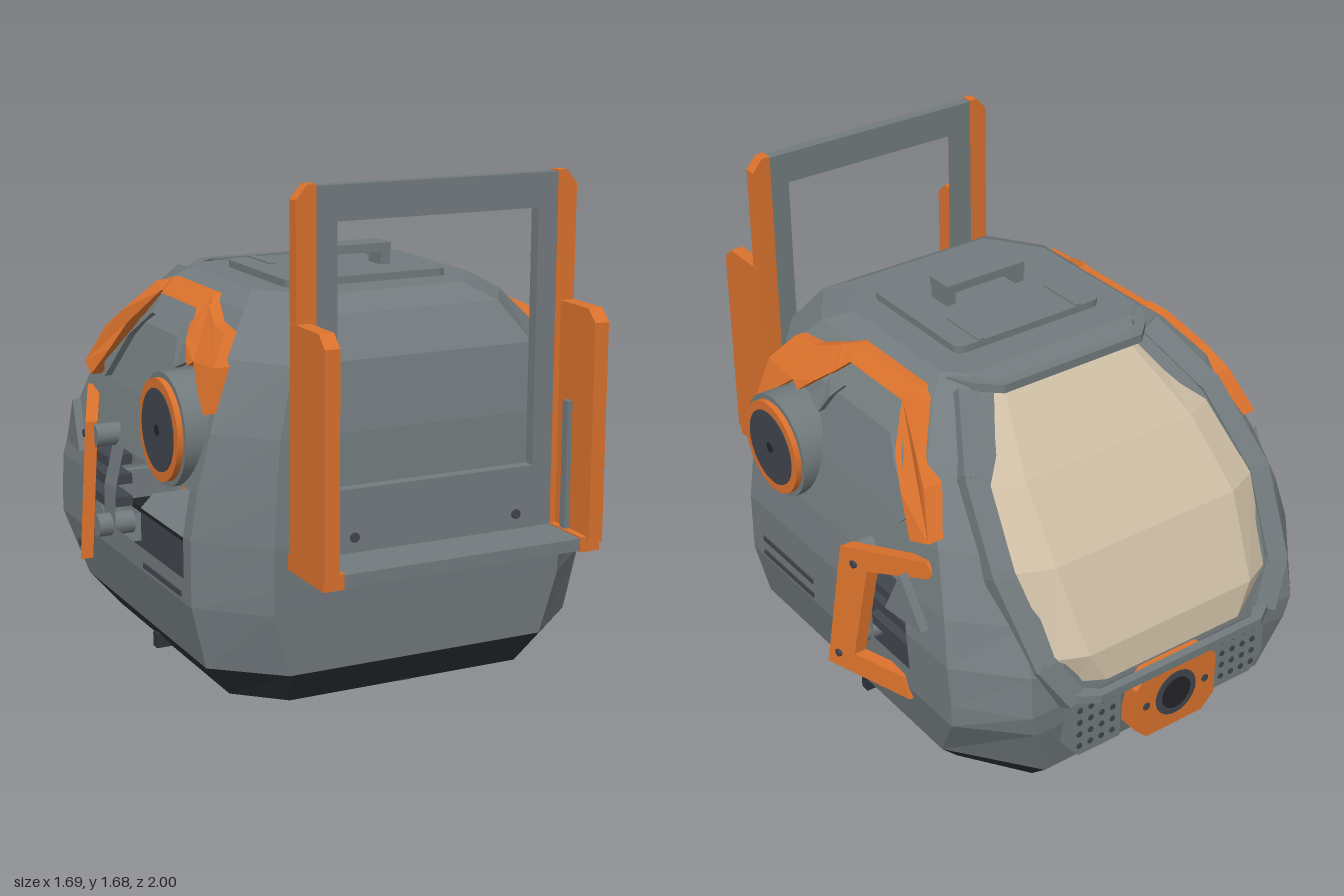
import * as THREE from 'three';

const mat = (name, color, side = THREE.FrontSide) => {
  const m = new THREE.MeshStandardMaterial({ color, side });
  m.name = name;
  return m;
};

// Body rings: y, front half width, front z, side x, side front z, side back z, back half width, back z
const RINGS = [
  [0, 0.42, 0.6, 0.57, 0.46, -0.53, 0.42, -0.75],
  [0.12, 0.46, 0.69, 0.67, 0.51, -0.59, 0.46, -0.87],
  [0.33, 0.52, 0.7, 0.72, 0.515, -0.72, 0.53, -0.915],
  [0.41, 0.52, 0.705, 0.72, 0.515, -0.72, 0.55, -0.92],
  [0.55, 0.52, 0.71, 0.72, 0.515, -0.7, 0.54, -0.9],
  [0.7, 0.51, 0.703, 0.697, 0.518, -0.655, 0.525, -0.825],
  [0.89, 0.49, 0.69, 0.65, 0.52, -0.56, 0.5, -0.7],
  [1.11, 0.43, 0.655, 0.575, 0.47, -0.4, 0.45, -0.5],
  [1.24, 0.35, 0.565, 0.47, 0.38, -0.28, 0.38, -0.36],
  [1.29, 0.27, 0.47, 0.4, 0.28, -0.22, 0.33, -0.29],
];
const COLUMNS = [0, 0.05, 0.55, 0.64, 0.81, 1];

// Half width of the body side at a given height
function sideX(y) {
  let i = 1;
  while (i < RINGS.length - 1 && RINGS[i][0] < y) i++;
  const a = RINGS[i - 1], b = RINGS[i];
  return a[3] + (b[3] - a[3]) * (y - a[0]) / (b[0] - a[0]);
}

function ringPoints([y, fx, zf, w, s1, s2, bx, zb]) {
  const half = [[fx, y, zf], ...COLUMNS.map(t => [w, y, s1 + (s2 - s1) * t]), [bx, y, zb]];
  return half.concat(half.slice().reverse().map(([x, h, z]) => [-x, h, z]));
}

function fromTriangles(points) {
  const g = new THREE.BufferGeometry();
  g.setAttribute('position', new THREE.Float32BufferAttribute(points.flat(), 3));
  g.computeVertexNormals();
  return g;
}

// Flat-faced skin through rings of equal size; skip(row, column) leaves openings
function loft(rings, closed = true, cap = false, skip = () => false) {
  const tris = [], n = rings[0].length;
  for (let r = 0; r < rings.length - 1; r++) {
    for (let i = 0; i < (closed ? n : n - 1); i++) {
      if (skip(r, i)) continue;
      const j = (i + 1) % n;
      const a = rings[r][i], b = rings[r][j], c = rings[r + 1][j], d = rings[r + 1][i];
      tris.push(a, b, c, a, c, d);
    }
  }
  if (cap) {
    const top = rings[rings.length - 1];
    for (let i = 1; i < n - 1; i++) tris.push(top[0], top[i], top[i + 1]);
  }
  return fromTriangles(tris);
}

function extrude(pts, depth, hole) {
  const shape = new THREE.Shape(pts.map(p => new THREE.Vector2(...p)));
  if (hole) shape.holes.push(new THREE.Path(hole.map(p => new THREE.Vector2(...p))));
  return new THREE.ExtrudeGeometry(shape, { depth, bevelEnabled: false });
}

// Plate lying flat, outline given as [x, z]
const flatPlate = (pts, y, t) => extrude(pts.map(([x, z]) => [x, -z]), t).rotateX(-Math.PI / 2).translate(0, y, 0);

// Plate on the +x side, outline given as [z, y], bent to x = surface(y, z)
function sidePlate(pts, t, surface) {
  const g = extrude(pts.map(([z, y]) => [-z, y]), t), p = g.attributes.position;
  for (let i = 0; i < p.count; i++) {
    const z = -p.getX(i), y = p.getY(i);
    p.setXYZ(i, surface(y, z) + p.getZ(i), y, z);
  }
  g.computeVertexNormals();
  return g;
}

const box = (w, h, d, x, y, z) => new THREE.BoxGeometry(w, h, d).translate(x, y, z);
const chamferRect = (x, y0, y1, c) => [[-x + c, y0], [x - c, y0], [x, y0 + c], [x, y1 - c], [x - c, y1], [-x + c, y1], [-x, y1 - c], [-x, y0 + c]];

export function createModel() {
  const root = new THREE.Group();
  root.name = 'pod';
  const grey = mat('hull grey', 0x737b7e, THREE.DoubleSide);
  const orange = mat('trim orange', 0xdb722d);
  const dark = mat('dark slate', 0x41454d, THREE.DoubleSide);
  const base = mat('base charcoal', 0x2f3238, THREE.DoubleSide);
  const black = mat('underside black', 0x232427);
  const tan = mat('window tan', 0xcdbda4, THREE.DoubleSide);
  const add = (name, geo, m, parent = root) => {
    const mesh = new THREE.Mesh(geo, m);
    mesh.name = name;
    parent.add(mesh);
    return mesh;
  };

  // Hull with louvre openings on both sides and a larger bay on the right
  const rings = RINGS.map(ringPoints);
  add('hull', loft(rings.slice(1), true, true, (r, i) => (r === 2 || r === 3) && [4, 10, 12].includes(i)), grey);
  add('baseSkirt', loft(rings.slice(0, 2)), base);
  const inner = y => ringPoints([y, 0.39, 0.52, 0.5, 0.42, -0.5, 0.39, -0.66]);
  add('baseRim', loft([rings[0], inner(0)]), base);
  add('baseWell', loft([inner(0), inner(0.35)]), dark);
  add('wellCeiling', box(0.98, 0.02, 1.16, 0, 0.35, -0.07), black);
  add('cabinFloor', loft([inner(0.365)], true, true), grey);
  for (const s of [-1, 1]) add('footTab', box(0.07, 0.05, 0.035, s * 0.592, 0.026, -0.05), base);
  add('frontFootTab', box(0.035, 0.05, 0.06, 0, 0.026, 0.575), base);
  add('backFootTab', box(0.035, 0.05, 0.06, 0, 0.026, -0.725), base);

  // Roof hatch and handle
  const hatch = new THREE.Shape();
  hatch.moveTo(-0.255, -0.33).lineTo(0.255, -0.33).quadraticCurveTo(0.295, -0.33, 0.295, -0.29);
  hatch.lineTo(0.295, 0.13).quadraticCurveTo(0.295, 0.17, 0.255, 0.17).lineTo(-0.255, 0.17);
  hatch.quadraticCurveTo(-0.295, 0.17, -0.295, 0.13).lineTo(-0.295, -0.29).quadraticCurveTo(-0.295, -0.33, -0.255, -0.33);
  add('roofHatch', new THREE.ExtrudeGeometry(hatch, { depth: 0.026, bevelEnabled: false }).rotateX(-Math.PI / 2).translate(0, 1.289, 0), grey);
  add('hatchHandle', box(0.32, 0.03, 0.1, 0, 1.375, 0.13), grey);
  for (const s of [-1, 1]) {
    add('handleLeg', box(0.035, 0.06, 0.09, s * 0.142, 1.335, 0.13), grey);
    add('hatchHinge', box(0.022, 0.012, 0.18, s * 0.2, 1.314, -0.078), grey);
  }

  // Rear window with its frame
  const glassRows = [[0.46, -0.95, 0.37], [0.57, -0.935, 0.45], [0.84, -0.795, 0.49], [1.05, -0.6, 0.455], [1.25, -0.365, 0.34]];
  add('rearWindow', loft(glassRows.map(([y, z, w]) => [[w, y, z + 0.05], [w * 0.75, y, z], [-w * 0.75, y, z], [-w, y, z + 0.05]]), false), tan);
  const framePts = [[0.41, 0.44, -0.925], [0.49, 0.57, -0.88], [0.53, 0.83, -0.72], [0.485, 1.07, -0.51], [0.375, 1.24, -0.325]];
  add('windowBrow', flatPlate([[-0.4, -0.25], [-0.35, -0.34], [-0.28, -0.405], [0.28, -0.405], [0.35, -0.34], [0.4, -0.25],
    [0.34, -0.25], [0.31, -0.33], [0.26, -0.37], [-0.26, -0.37], [-0.31, -0.33], [-0.34, -0.25]], 1.255, 0.03), grey);
  add('windowSill', flatPlate([[-0.45, -0.9], [-0.43, -0.94], [-0.34, -1], [0.34, -1], [0.43, -0.94], [0.45, -0.9],
    [0.4, -0.9], [0.32, -0.97], [-0.32, -0.97], [-0.4, -0.9]], 0.425, 0.03), grey);

  // Rear lamp
  add('lampPlate', extrude(chamferRect(0.17, 0.16, 0.42, 0.05), 0.07).translate(0, 0, -0.972), orange);
  const lens = (name, r, d, z, m) => add(name, new THREE.CylinderGeometry(r, r, d, 24).rotateX(Math.PI / 2).translate(0, 0.29, z), m);
  lens('lampRing', 0.085, 0.03, -0.96, dark);
  lens('lampLens', 0.06, 0.03, -0.962, black);

  // Front rack
  add('rackFrame', extrude([[-0.42, 0.5], [0.42, 0.5], [0.42, 1.68], [-0.42, 1.68]], 0.04,
    [[-0.35, 0.74], [-0.35, 1.57], [0.35, 1.57], [0.35, 0.74]]).translate(0, 0, 0.76), grey);
  add('rackLedge', box(0.86, 0.04, 0.24, 0, 0.515, 0.865), grey);

  for (const s of [1, -1]) {
    const side = new THREE.Group();
    side.name = s > 0 ? 'leftSide' : 'rightSide';
    side.scale.x = s;
    root.add(side);
    const part = (name, geo, m) => add(name, geo, m, side);

    // Rack posts and guards
    part('rackPost', extrude([[0.42, 0.5], [0.488, 0.5], [0.488, 1.64], [0.45, 1.685], [0.42, 1.685]], 0.044).translate(0, 0, 0.758), orange);
    part('rackGuard', sidePlate([[0.75, 0.52], [1, 0.52], [1, 1.23], [0.96, 1.27], [0.77, 1.27]], 0.05, () => 0.44), orange);
    part('guardFoot', box(0.07, 0.05, 0.25, 0.453, 0.515, 0.862), orange);
    part('guardStrip', box(0.02, 0.42, 0.03, 0.433, 0.75, 0.87), grey);
    part('rackMount', box(0.11, 0.13, 0.09, 0.29, 0.585, 0.725), grey);
    part('rackScrew', new THREE.CylinderGeometry(0.016, 0.016, 0.01, 12).rotateX(Math.PI / 2).translate(0.29, 0.585, 0.802), dark);

    // Round side pod
    const disc = (name, r, x0, x1, m) => part(name, new THREE.CylinderGeometry(r, r, x1 - x0, 32).rotateZ(-Math.PI / 2).translate((x0 + x1) / 2, 0.865, 0.305), m);
    disc('podHousing', 0.185, 0.5, 0.72, grey);
    disc('podRing', 0.167, 0.7, 0.74, orange);
    disc('podFace', 0.135, 0.7, 0.743, dark);
    disc('podHub', 0.018, 0.7, 0.746, black);

    // Orange arch over the side
    const skin = y => sideX(y) - 0.04;
    part('archFront', sidePlate([[0.51, 0.95], [0.49, 1.09], [0.42, 1.185], [0.31, 1.195], [0.2, 1.235], [0.16, 1.17], [0.22, 1.12], [0.29, 1.06], [0.33, 1.08], [0.43, 1]], 0.08, skin), orange);
    part('archTop', sidePlate([[0.21, 1.23], [0.14, 1.258], [-0.22, 1.258], [-0.27, 1.22], [-0.2, 1.21], [0.12, 1.21], [0.18, 1.15]], 0.07, skin), orange);
    part('archRear', sidePlate([[-0.2, 1.258], [-0.27, 1.24], [-0.37, 1.13], [-0.46, 1.06], [-0.55, 0.92], [-0.46, 0.89], [-0.36, 1], [-0.28, 1.1], [-0.19, 1.22]], 0.08, skin), orange);
    // Raised grey band inside the arch
    part('sideBand', sidePlate([[0.24, 1.06], [0.17, 1.14], [0.11, 1.21], [-0.2, 1.21], [-0.3, 1.09], [-0.41, 0.94], [-0.37, 0.9],
      [-0.27, 1.06], [-0.17, 1.15], [0.09, 1.15], [0.13, 1.1], [0.17, 1.03]], 0.05, y => sideX(y) - 0.025), grey);

    // Swung-out bracket, pegs, fin and louvres
    const flap = (y, z) => 0.78 + (z + 0.19) * 0.38 + (0.55 - y) * 0.06;
    part('louvreBracket', sidePlate([[-0.18, 0.31], [-0.22, 0.78], [-0.53, 0.84], [-0.57, 0.79], [-0.32, 0.72], [-0.28, 0.38], [-0.46, 0.37], [-0.49, 0.29]], 0.045, flap), orange);
    for (const y of [0.41, 0.73]) {
      part('bracketPeg', new THREE.CylinderGeometry(0.04, 0.04, 0.13, 16).rotateZ(Math.PI / 2).translate(0.705, y, -0.22), grey);
    }
    for (const [y, z] of [[0.36, -0.22], [0.73, -0.27]]) {
      part('bracketBolt', new THREE.CylinderGeometry(0.014, 0.014, 0.012, 10).rotateZ(Math.PI / 2).translate(flap(y, z) + 0.045, y, z), dark);
    }
    part('sideFin', sidePlate([[-0.41, 0.63], [-0.49, 0.8], [-0.59, 0.63]], 0.03, (y, z) => 0.73 + (z + 0.4) * 0.1), grey);
    for (const y of [0.475, 0.555, 0.625]) part('louvre', box(0.09, 0.035, 0.28, 0.67, y, -0.385), dark);

    // Vent slits
    for (const y of [0.355, 0.413]) if (s > 0 || y < 0.4) part('ventSlit', box(0.008, 0.018, 0.33, 0.721, y, 0.27), dark);

    // Window frame beams
    for (let i = 0; i < framePts.length - 1; i++) {
      const a = new THREE.Vector3(...framePts[i]), b = new THREE.Vector3(...framePts[i + 1]);
      const beam = part('windowFrame', new THREE.BoxGeometry(0.08, 0.06, a.distanceTo(b) + 0.02), grey);
      beam.position.copy(a).add(b).multiplyScalar(0.5);
      beam.quaternion.setFromRotationMatrix(new THREE.Matrix4().lookAt(b, a, new THREE.Vector3(0, 0.6, -0.8)));
    }

    // Perforated grille beside the lamp
    part('grillePlate', extrude([[0.2, 0.18], [0.37, 0.18], [0.42, 0.24], [0.42, 0.4], [0.2, 0.4]], 0.04).translate(0, 0, -0.932), grey);
    for (let i = 0; i < 4; i++) for (let j = 0; j < 4; j++) {
      part('grilleHole', new THREE.CylinderGeometry(0.011, 0.011, 0.006, 8).rotateX(Math.PI / 2).translate(0.235 + i * 0.045, 0.22 + j * 0.048, -0.933), dark);
    }
    part('lampBolt', new THREE.CylinderGeometry(0.014, 0.014, 0.008, 10).rotateX(Math.PI / 2).translate(0.125, 0.29, -0.972), dark);
  }
  return root;
}
